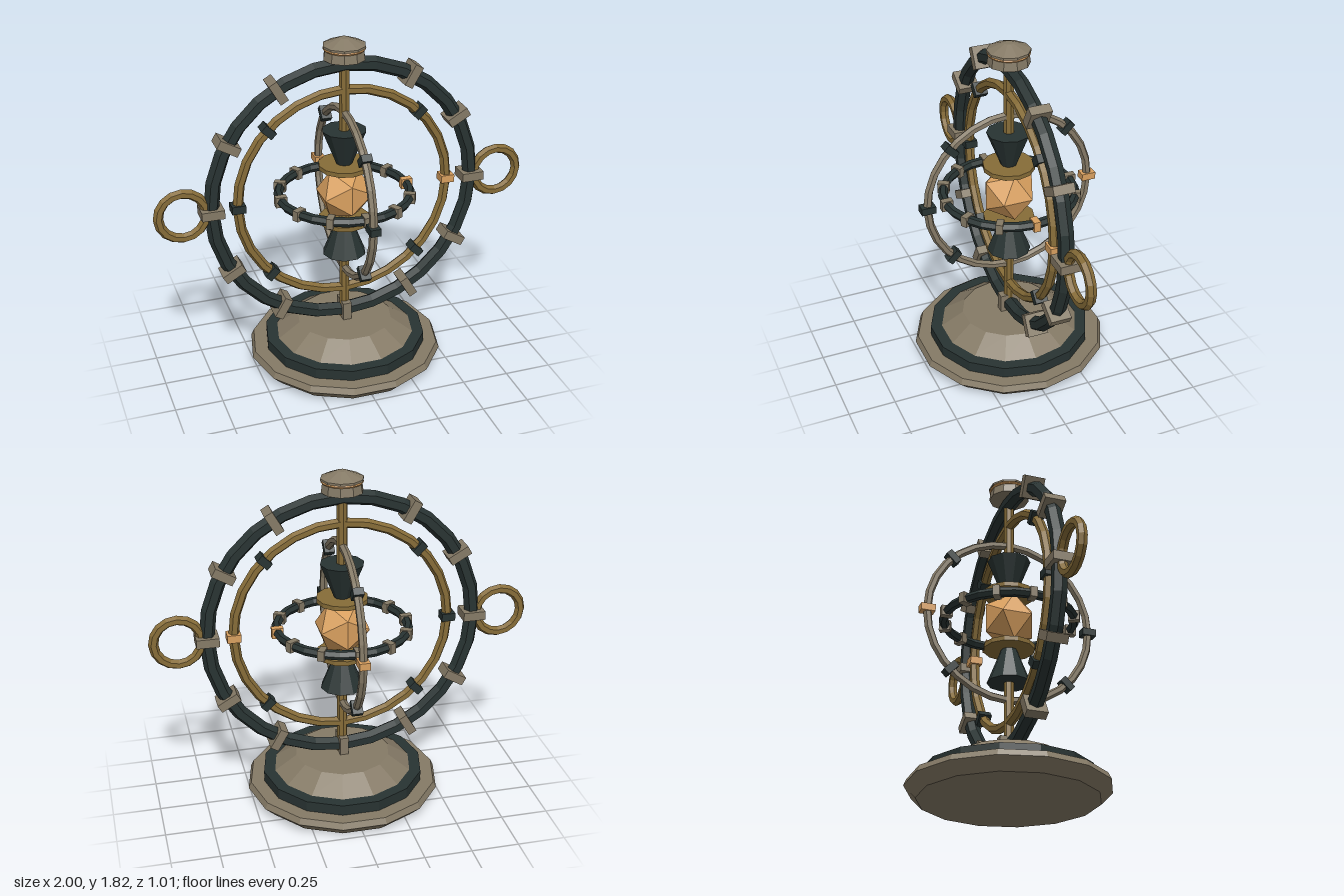
import * as THREE from 'three';

const mat = (name, color) => {
  const m = new THREE.MeshStandardMaterial({ color, flatShading: true });
  m.name = name;
  return m;
};

export function createModel() {
  const stone = mat('taupe stone', 0x857a66);
  const iron = mat('dark iron', 0x283332);
  const brass = mat('brass', 0x866c38);
  const amber = mat('amber', 0xd9a05f);
  const model = new THREE.Group();
  model.name = 'gyroscopeOrnament';
  const CY = 0.975;

  const add = (name, geometry, material, x = 0, y = 0, z = 0, parent = model) => {
    const mesh = new THREE.Mesh(geometry, material);
    mesh.name = name;
    mesh.position.set(x, y, z);
    parent.add(mesh);
    return mesh;
  };

  // Faceted solid of revolution spanning y0 to y1
  const drum = (name, rBottom, rTop, y0, y1, material, sides) => {
    const g = new THREE.CylinderGeometry(rTop, rBottom, y1 - y0, sides);
    g.rotateY(Math.PI / 2);
    return add(name, g, material, 0, (y0 + y1) / 2);
  };

  // Ring with box clamps; a clamp at angle 0 may take its own material
  const ring = (name, o) => {
    const group = new THREE.Group();
    group.name = name;
    group.position.y = CY;
    group.rotation.set(o.rx || 0, o.ry || 0, 0);
    model.add(group);
    add(name + 'Band', new THREE.TorusGeometry(o.radius, o.tube, o.sides || 6, o.segments), o.material, 0, 0, 0, group);
    const box = new THREE.BoxGeometry(...o.clamp);
    for (let i = 0; i < o.count; i++) {
      if (o.skip && o.skip.includes(i)) continue;
      const a = (i / o.count) * Math.PI * 2;
      const m = i === 0 && o.accent ? o.accent : o.clampMaterial;
      const c = add(name + 'Clamp', box, m, Math.cos(a) * o.radius, Math.sin(a) * o.radius, 0, group);
      c.rotation.z = a;
    }
  };

  // Stepped base
  drum('baseFoot', 0.46, 0.52, 0, 0.06, stone, 14);
  drum('baseRim', 0.52, 0.505, 0.06, 0.093, stone, 14);
  drum('baseBand', 0.433, 0.433, 0.093, 0.15, iron, 14);
  drum('basePlinth', 0.372, 0.255, 0.15, 0.23, stone, 14);

  // Central post
  drum('post', 0.028, 0.028, 0.22, 1.73, brass, 8);

  // Nested rings, outermost first
  ring('outerRing', {
    radius: 0.705, tube: 0.04, segments: 28, material: iron,
    clamp: [0.118, 0.047, 0.11], count: 12, skip: [3], clampMaterial: stone,
  });
  ring('brassRing', {
    radius: 0.568, tube: 0.027, segments: 28, material: brass,
    clamp: [0.072, 0.042, 0.068], count: 8, skip: [2, 6], clampMaterial: iron, accent: amber,
  });
  ring('crossRing', {
    radius: 0.446, tube: 0.022, segments: 28, material: stone, ry: Math.PI / 2,
    clamp: [0.076, 0.038, 0.055], count: 8, skip: [2, 6], clampMaterial: iron, accent: amber,
  });
  ring('levelRing', {
    radius: 0.342, tube: 0.025, segments: 24, material: iron, rx: Math.PI / 2,
    clamp: [0.06, 0.036, 0.055], count: 12, clampMaterial: stone, accent: amber,
  });

  // Side handles
  for (const s of [1, -1]) {
    const g = new THREE.TorusGeometry(0.123, 0.026, 6, 16);
    add(s > 0 ? 'leftHandle' : 'rightHandle', g, brass, s * 0.852, CY, 0);
  }

  // Faceted core between two plates and two flared cones
  add('core', new THREE.IcosahedronGeometry(0.15, 0), amber, 0, CY, 0);
  for (const s of [1, -1]) {
    const end = s > 0 ? 'upper' : 'lower';
    const plate = new THREE.CylinderGeometry(0.135, 0.135, 0.024, 12);
    add(end + 'Plate', plate, brass, 0, CY + s * 0.155, 0);
    const cone = new THREE.CylinderGeometry(s > 0 ? 0.115 : 0.042, s > 0 ? 0.042 : 0.115, 0.185, 10);
    cone.rotateY(Math.PI / 2);
    add(end + 'Cone', cone, iron, 0, CY + s * 0.259, 0);
  }

  // Top cap
  drum('capCollar', 0.108, 0.1, 1.708, 1.765, stone, 10);
  const trim = new THREE.TorusGeometry(0.1, 0.008, 5, 20);
  trim.rotateX(Math.PI / 2);
  add('capTrim', trim, amber, 0, 1.763, 0);
  drum('capRim', 0.11, 0.11, 1.769, 1.78, stone, 10);
  drum('capTop', 0.11, 0.025, 1.78, 1.815, stone, 10);

  return model;
}
